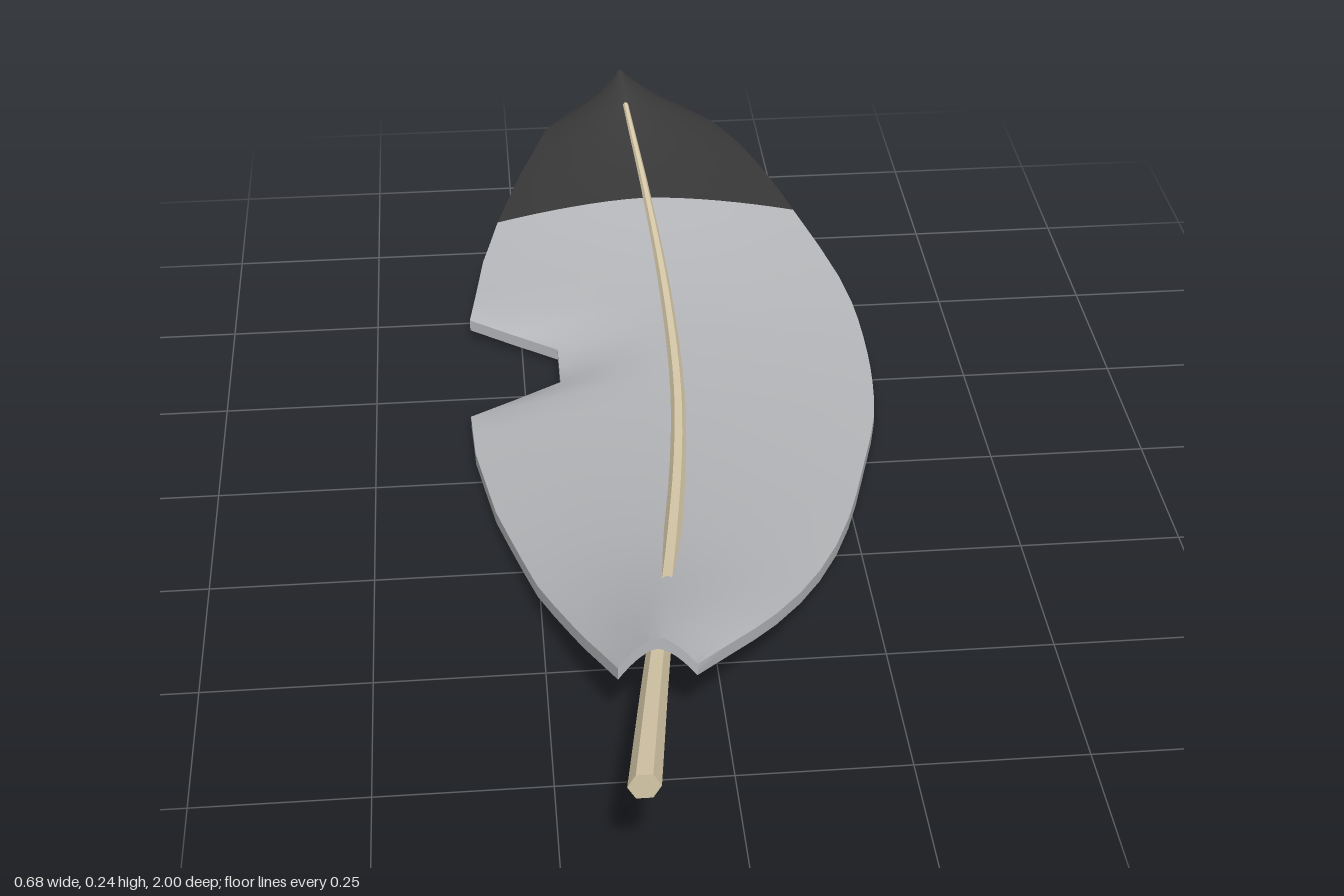
import * as THREE from 'three';
import { toCreasedNormals } from 'three/addons/utils/BufferGeometryUtils.js';

const THICK = 0.02;

// Turns [z, value] pairs into a function of z.
function along(points, Interp = THREE.CubicInterpolant) {
  const f = new Interp(points.map(p => p[0]), points.map(p => p[1]), 1);
  return z => f.evaluate(z)[0];
}

// Centre line, ridge height and sideways droop of the vane
const centreX = along([[-1, -0.035], [-0.92, -0.03], [-0.7, -0.012], [-0.4, 0], [-0.1, -0.005],
  [0.1, -0.022], [0.3, -0.047], [0.43, -0.065], [0.67, -0.1], [1, -0.143]]);
const ridgeY = along([[-1, 0.242], [-0.85, 0.177], [-0.7, 0.128], [-0.45, 0.083], [-0.2, 0.07],
  [0, 0.074], [0.2, 0.089], [0.4, 0.117], [0.67, 0.186]]);
const droop = along([[-1, 0.032], [-0.7, 0.038], [-0.2, 0.05], [0.67, 0.05]], THREE.LinearInterpolant);

// Outline of the vane; the -x side carries a V-shaped notch
const leftEdge = along([[-1, -0.015], [-0.98, 0.025], [-0.91, 0.135], [-0.81, 0.21], [-0.7, 0.26],
  [-0.5, 0.325], [-0.34, 0.34], [-0.12, 0.325], [0, 0.295], [0.3, 0.2], [0.51, 0.085], [0.67, -0.045]]);
const rightEdge = along([[-1, -0.055], [-0.98, -0.085], [-0.91, -0.18], [-0.8, -0.24], [-0.7, -0.28],
  [-0.6, -0.31], [-0.445, -0.338], [-0.35, -0.19], [-0.255, -0.19], [-0.165, -0.343], [-0.05, -0.338],
  [0.135, -0.31], [0.37, -0.255], [0.56, -0.195], [0.67, -0.155]], THREE.LinearInterpolant);

const ROWS = [-1, -0.98, -0.945, -0.91, -0.86, -0.81, -0.755, -0.7, -0.65, -0.6, -0.52, -0.445, -0.4,
  -0.35, -0.3, -0.255, -0.21, -0.165, -0.11, -0.05, 0.04, 0.135, 0.21, 0.29, 0.37, 0.44, 0.51, 0.56,
  0.615, 0.67];

// A closed shell between two z values: arched top, bottom and a thin rim
function vaneGeometry(z0, z1) {
  const rows = ROWS.filter(z => z >= z0 && z <= z1);
  const half = 8, cols = 2 * half + 1, layer = rows.length * cols;
  const pos = [], index = [];
  for (const drop of [0, THICK]) {
    for (const z of rows) {
      for (let j = 0; j < cols; j++) {
        const u = (j - half) / half, c = centreX(z);
        const edge = u < 0 ? rightEdge(z) : leftEdge(z);
        pos.push(c + (edge - c) * Math.abs(u), ridgeY(z) - droop(z) * Math.abs(u) ** 1.6 - drop, z);
      }
    }
  }
  const quad = (a, b, c, d) => index.push(a, b, c, a, c, d);
  const at = (i, j) => i * cols + j;
  const last = rows.length - 1;
  for (let i = 0; i < last; i++) {
    for (let j = 0; j < cols - 1; j++) {
      const a = at(i, j), b = at(i + 1, j), c = at(i + 1, j + 1), d = at(i, j + 1);
      quad(a, b, c, d);
      quad(a + layer, d + layer, c + layer, b + layer);
    }
    const l = at(i, 0), l2 = at(i + 1, 0), r = at(i, cols - 1), r2 = at(i + 1, cols - 1);
    quad(l, l + layer, l2 + layer, l2);
    quad(r, r2, r2 + layer, r + layer);
  }
  for (let j = 0; j < cols - 1; j++) {
    const a = at(0, j), b = at(last, j);
    quad(a, a + 1, a + 1 + layer, a + layer);
    quad(b, b + layer, b + 1 + layer, b + 1);
  }
  const geo = new THREE.BufferGeometry();
  geo.setAttribute('position', new THREE.Float32BufferAttribute(pos, 3));
  geo.setIndex(index);
  return toCreasedNormals(geo, 0.6);
}

// Six-sided tapering shaft bent along the centre line
function quillGeometry() {
  const height = along([[-0.92, 0.208], [-0.7, 0.152], [-0.4, 0.107], [-0.1, 0.09], [0.1, 0.09],
    [0.3, 0.1], [0.43, 0.113], [0.67, 0.148], [1, 0.207]]);
  const radius = along([[-0.92, 0.005], [-0.4, 0.01], [0.43, 0.0145], [1, 0.022]], THREE.LinearInterpolant);
  const geo = new THREE.CylinderGeometry(1, 1, 1.92, 6, 28);
  geo.rotateY(Math.PI / 2).rotateX(Math.PI / 2).translate(0, 0, 0.04);
  const p = geo.attributes.position;
  for (let i = 0; i < p.count; i++) {
    const z = THREE.MathUtils.clamp(p.getZ(i), -0.92, 1), r = radius(z);
    p.setXYZ(i, centreX(z) + p.getX(i) * r, height(z) + p.getY(i) * r, z);
  }
  return toCreasedNormals(geo, 0.6);
}

export function createModel() {
  const material = (name, color) => {
    const m = new THREE.MeshStandardMaterial({ color });
    m.name = name;
    return m;
  };
  const group = new THREE.Group();
  group.name = 'feather';
  const add = (name, geo, mat) => {
    const mesh = new THREE.Mesh(geo, mat);
    mesh.name = name;
    group.add(mesh);
  };
  add('vane', vaneGeometry(-0.7, 0.67), material('pale grey', 0xb4b6b9));
  add('vaneTip', vaneGeometry(-1, -0.7), material('charcoal', 0x363636));
  add('quill', quillGeometry(), material('horn beige', 0xd6c8a8));
  return group;
}
